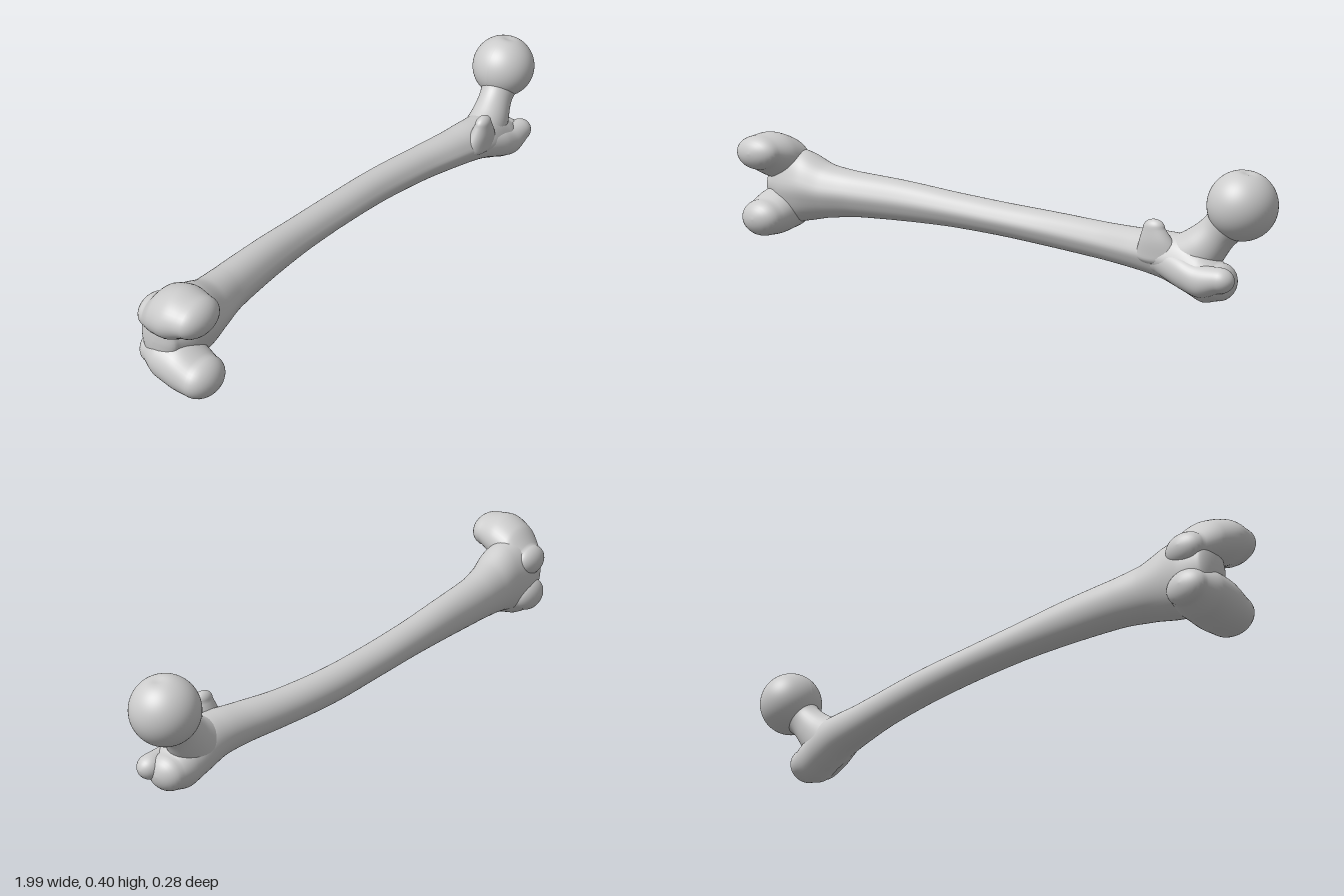
import * as THREE from 'three';

const X = new THREE.Vector3(1, 0, 0);
const Y = new THREE.Vector3(0, 1, 0);
const Z = new THREE.Vector3(0, 0, 1);
const material = new THREE.MeshStandardMaterial({ color: 0xcccccc });

// Smooth tube through elliptical sections [x, y, z, a, b]: a lies along u, b along w x u.
// Both ends close with domes of depth caps[0] and caps[1]; bump(angle) scales the radius.
function loft(name, w, u, sections, caps, bump = () => 1, sides = 40) {
  const v = new THREE.Vector3().crossVectors(w, u);
  const centres = new THREE.CatmullRomCurve3(sections.map(s => new THREE.Vector3(s[0], s[1], s[2])));
  const radii = new THREE.CatmullRomCurve3(sections.map(s => new THREE.Vector3(s[3], s[4], 0)));
  const rings = [];
  const addRing = (t, push, scale) => {
    const r = radii.getPoint(t).multiplyScalar(scale);
    rings.push({ c: centres.getPoint(t).addScaledVector(w, push), a: r.x, b: r.y });
  };
  const domeSteps = 8, steps = (sections.length - 1) * 8;
  const dome = i => (i / domeSteps) * Math.PI / 2;
  for (let i = domeSteps; i > 0; i--) addRing(0, -caps[0] * Math.sin(dome(i)), Math.cos(dome(i)) + 1e-4);
  for (let i = 0; i <= steps; i++) addRing(i / steps, 0, 1);
  for (let i = 1; i <= domeSteps; i++) addRing(1, caps[1] * Math.sin(dome(i)), Math.cos(dome(i)) + 1e-4);

  const positions = [], index = [];
  rings.forEach(({ c, a, b }, i) => {
    for (let j = 0; j < sides; j++) {
      const angle = (j / sides) * Math.PI * 2, k = bump(angle);
      const p = c.clone()
        .addScaledVector(u, a * k * Math.cos(angle))
        .addScaledVector(v, b * k * Math.sin(angle));
      positions.push(p.x, p.y, p.z);
      if (i === rings.length - 1) continue;
      const n = (j + 1) % sides, lo = i * sides, hi = lo + sides;
      index.push(lo + j, lo + n, hi + n, lo + j, hi + n, hi + j);
    }
  });
  const geometry = new THREE.BufferGeometry();
  geometry.setAttribute('position', new THREE.Float32BufferAttribute(positions, 3));
  geometry.setIndex(index);
  geometry.computeVertexNormals();
  const mesh = new THREE.Mesh(geometry, material);
  mesh.name = name;
  return mesh;
}

// Ball of the hip joint with a shallow pit on top
function femoralHead() {
  const radius = 0.107;
  const geometry = new THREE.SphereGeometry(radius, 64, 48);
  const pit = new THREE.Vector3(0.2, 1, 0.05).normalize();
  const p = new THREE.Vector3(), position = geometry.attributes.position;
  for (let i = 0; i < position.count; i++) {
    p.fromBufferAttribute(position, i);
    const angle = p.angleTo(pit);
    p.multiplyScalar(1 - 0.08 * Math.exp(-((angle / 0.22) ** 2)));
    position.setXYZ(i, p.x, p.y, p.z);
  }
  geometry.computeVertexNormals();
  const mesh = new THREE.Mesh(geometry, material);
  mesh.name = 'femoralHead';
  mesh.position.set(0.888, 0.303, -0.033);
  return mesh;
}

export function createModel() {
  const model = new THREE.Group();
  model.name = 'thighBone';

  // Bowed shaft, flaring at both ends, with a low ridge along its +z side
  const ridge = angle => 1 + 0.07 * Math.exp(-(((angle - Math.PI / 2) / 0.25) ** 2));
  model.add(loft('shaft', X, Y, [
    [-0.92, 0.20, -0.05, 0.095, 0.065],
    [-0.85, 0.20, -0.042, 0.13, 0.085],
    [-0.78, 0.20, -0.038, 0.118, 0.086],
    [-0.70, 0.19, -0.048, 0.092, 0.078],
    [-0.60, 0.187, -0.062, 0.078, 0.068],
    [-0.40, 0.182, -0.074, 0.068, 0.060],
    [-0.20, 0.172, -0.080, 0.058, 0.056],
    [0.00, 0.160, -0.081, 0.055, 0.056],
    [0.20, 0.148, -0.075, 0.057, 0.056],
    [0.40, 0.139, -0.050, 0.059, 0.058],
    [0.55, 0.135, -0.020, 0.065, 0.065],
    [0.65, 0.130, -0.003, 0.074, 0.072],
    [0.73, 0.112, 0.003, 0.085, 0.075],
    [0.79, 0.085, 0.010, 0.080, 0.075],
    [0.84, 0.073, 0.012, 0.058, 0.066],
  ], [0.03, 0.05], ridge, 48));

  // Neck rising obliquely to the head
  const neckAxis = new THREE.Vector3(0.69, 0.724, 0);
  model.add(loft('femoralNeck', neckAxis, new THREE.Vector3(-0.724, 0.69, 0), [
    [0.71, 0.115, 0.000, 0.095, 0.072],
    [0.77, 0.165, -0.005, 0.074, 0.064],
    [0.82, 0.22, -0.016, 0.061, 0.056],
    [0.87, 0.28, -0.030, 0.078, 0.075],
  ], [0.03, 0.03]));
  model.add(femoralHead());

  // Bumps and crest behind the neck
  model.add(loft('lesserTrochanter', Y, Z, [
    [0.645, 0.13, 0.025, 0.050, 0.085],
    [0.64, 0.18, 0.045, 0.034, 0.058],
    [0.635, 0.222, 0.053, 0.023, 0.036],
  ], [0.03, 0.027]));
  model.add(loft('greaterTrochanter', X, Y, [
    [0.64, 0.125, 0.035, 0.045, 0.032],
    [0.74, 0.095, 0.056, 0.050, 0.040],
    [0.80, 0.078, 0.058, 0.050, 0.042],
    [0.865, 0.087, 0.056, 0.039, 0.040],
  ], [0.03, 0.045]));

  // Knee end: two rounded condyles with a notch between them
  model.add(loft('medialCondyle', Z, X, [
    [-0.875, 0.255, -0.10, 0.068, 0.052],
    [-0.885, 0.285, -0.05, 0.092, 0.075],
    [-0.898, 0.305, 0.01, 0.100, 0.079],
    [-0.907, 0.320, 0.08, 0.086, 0.059],
  ], [0.042, 0.056]));
  model.add(loft('lateralCondyle', Z, X, [
    [-0.875, 0.130, -0.10, 0.070, 0.056],
    [-0.882, 0.124, -0.05, 0.087, 0.076],
    [-0.887, 0.115, 0.01, 0.088, 0.079],
    [-0.892, 0.098, 0.08, 0.080, 0.063],
  ], [0.042, 0.060]));

  return model;
}
